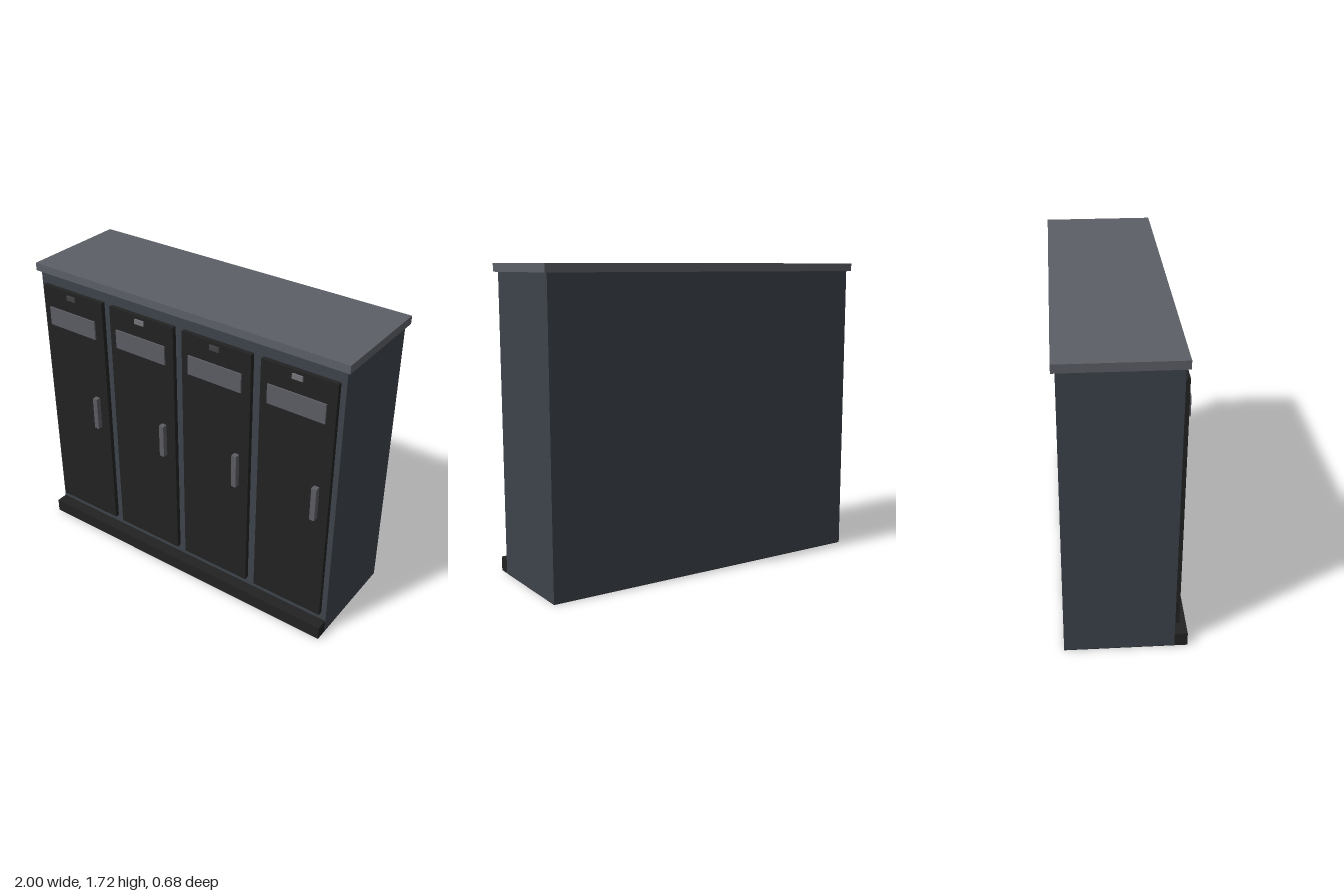
import * as THREE from 'three';

const mat = (name, color) => Object.assign(new THREE.MeshStandardMaterial({ color }), { name });

// Box given by its min and max on each axis
function box(name, material, [x0, x1], [y0, y1], [z0, z1]) {
  const mesh = new THREE.Mesh(new THREE.BoxGeometry(x1 - x0, y1 - y0, z1 - z0), material);
  mesh.position.set((x0 + x1) / 2, (y0 + y1) / 2, (z0 + z1) / 2);
  mesh.name = name;
  return mesh;
}

export function createModel() {
  const slate = mat('slate body', 0x3c434a);
  const grey = mat('grey top', 0x5c5f66);
  const black = mat('black door', 0x222222);
  const steel = mat('steel fittings', 0x5c5c64);
  const dimLamp = mat('dim indicator', 0x424246);
  const litLamp = mat('light indicator', 0x727278);

  const model = new THREE.Group();
  model.name = 'lockerCabinet';

  // Carcass, plinth and overhanging top
  model.add(
    box('body', slate, [-0.98, 0.98], [0.003, 1.67], [-0.32, 0.27]),
    box('plinth', black, [-0.979, 0.979], [0, 0.08], [-0.319, 0.34]),
    box('top', grey, [-1, 1], [1.67, 1.715], [-0.34, 0.29]),
  );

  // Four identical doors with alternating indicators
  for (let i = 0; i < 4; i++) {
    const locker = new THREE.Group();
    locker.name = `locker${i + 1}`;
    locker.position.x = (i - 1.5) * 0.489;
    locker.add(
      box('door', black, [-0.216, 0.216], [0.13, 1.6], [0.27, 0.296]),
      box('namePlate', steel, [-0.167, 0.167], [1.37, 1.48], [0.302, 0.311]),
      box('indicator', i % 2 ? litLamp : dimLamp, [-0.03, 0.03], [1.557, 1.585], [0.302, 0.311]),
      box('handle', steel, [0.13, 0.16], [0.785, 0.985], [0.301, 0.331]),
    );
    model.add(locker);
  }
  return model;
}
